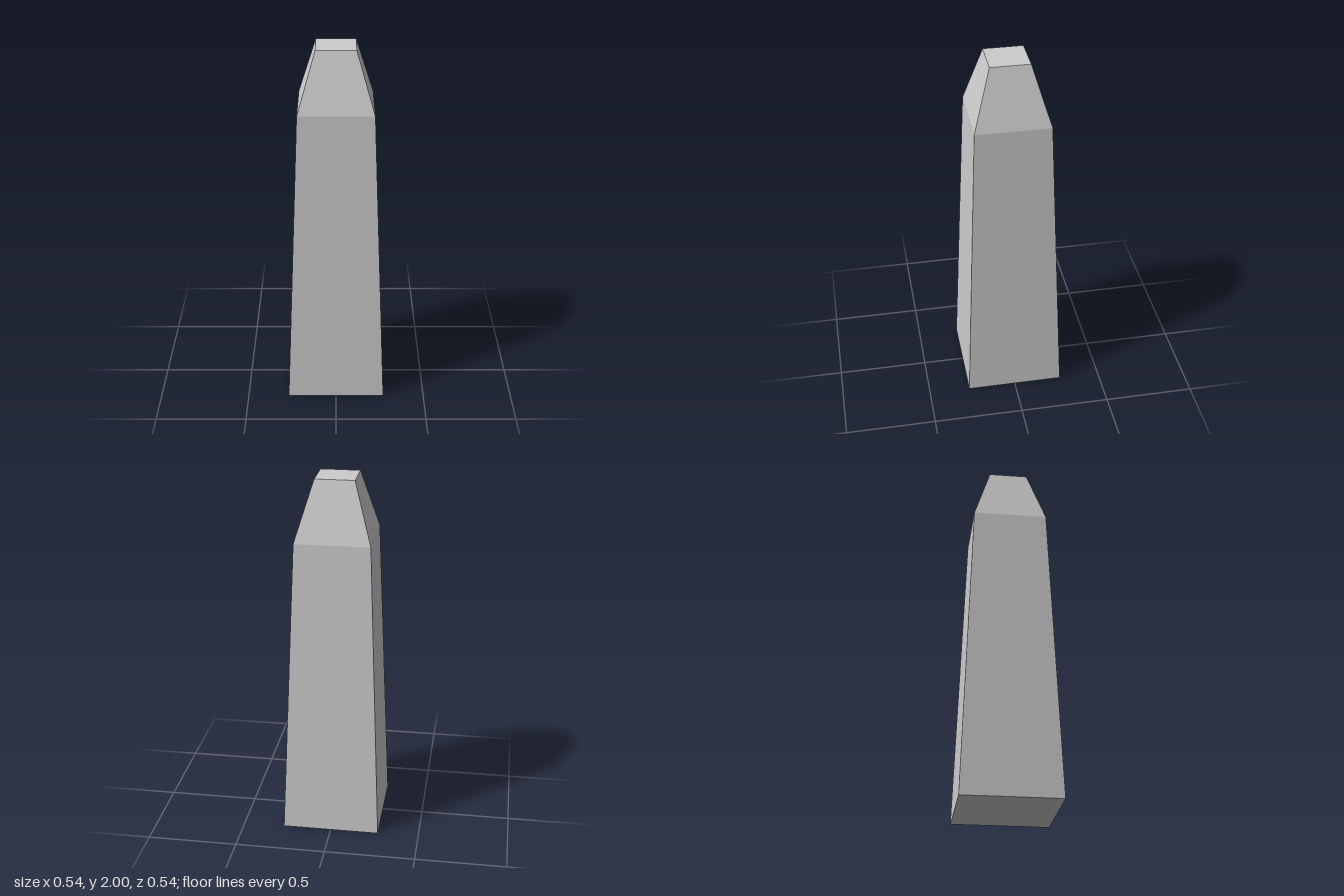
import * as THREE from 'three';

// Height and half-width of each square section, bottom to top
const sections = [
  { y: 0, half: 0.27 },
  { y: 1.675, half: 0.204 },
  { y: 2, half: 0.107 },
];

export function createModel() {
  const group = new THREE.Group();
  group.name = 'obelisk';

  // Tapered shaft and blunt cap: a box with one ring of vertices per section
  const geometry = new THREE.BoxGeometry(2, 2, 2, 1, sections.length - 1, 1);
  const position = geometry.attributes.position;
  for (let i = 0; i < position.count; i++) {
    const row = Math.round(position.getY(i)) + 1;
    const { y, half } = sections[row];
    position.setXYZ(i, position.getX(i) * half, y, position.getZ(i) * half);
  }
  geometry.computeVertexNormals();

  const stone = new THREE.MeshStandardMaterial({ color: 0xcccccc, flatShading: true });
  const pillar = new THREE.Mesh(geometry, stone);
  pillar.name = 'pillar';
  group.add(pillar);

  return group;
}
